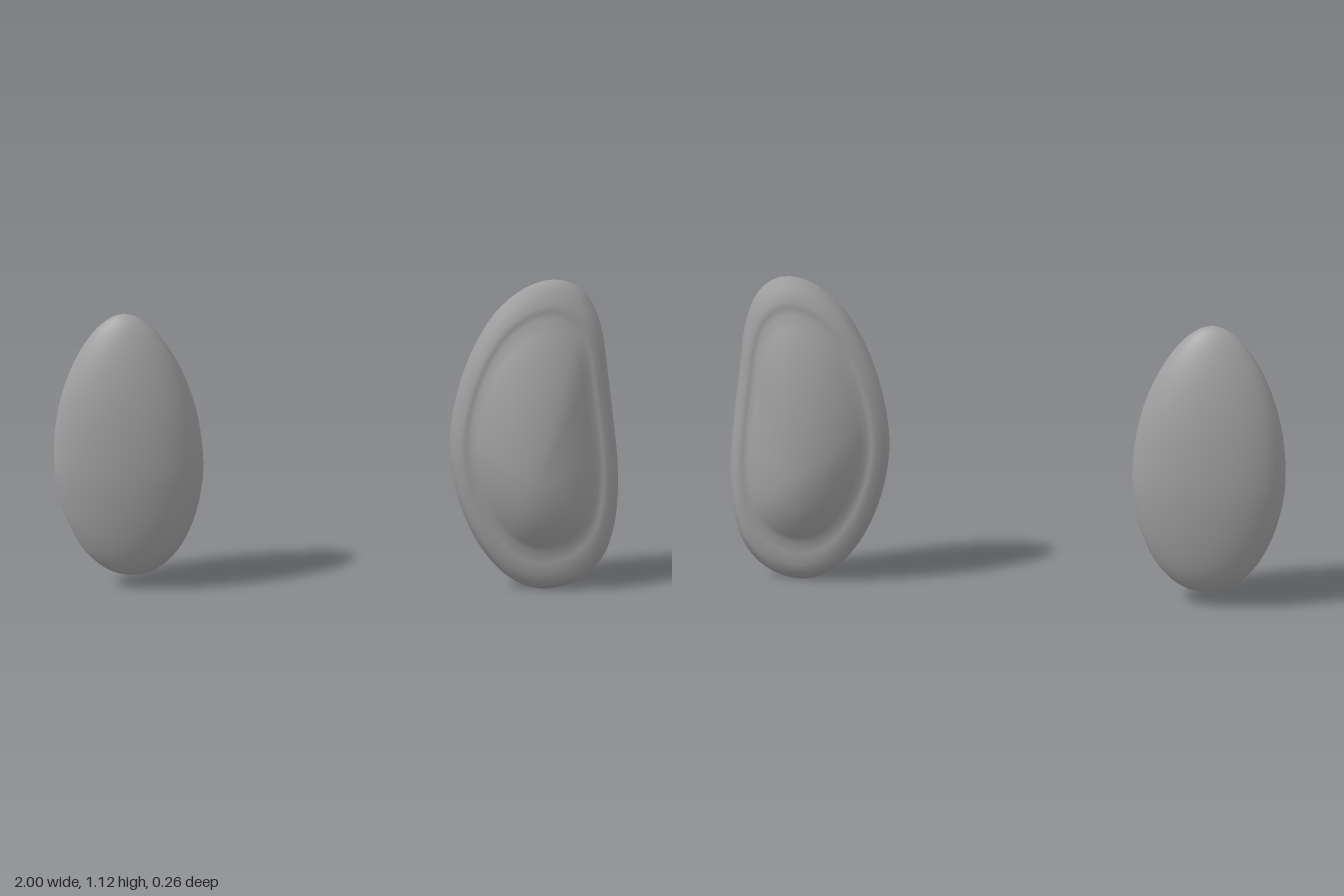
import * as THREE from 'three';
import { mergeVertices } from 'three/addons/utils/BufferGeometryUtils.js';

const v2 = ([x, y]) => new THREE.Vector2(x, y);

// Flattened egg: a turned profile squeezed front to back
function makeSeed(material) {
  const profile = [[0, 0.05], [0.06, 0.058], [0.12, 0.093], [0.18, 0.16], [0.228, 0.26], [0.256, 0.37],
    [0.265, 0.47], [0.254, 0.6], [0.226, 0.72], [0.175, 0.84], [0.11, 0.935], [0.05, 0.985], [0, 1]].map(v2);
  const points = new THREE.SplineCurve(profile).getPoints(48);
  points.forEach((p) => { p.x = Math.max(p.x, 0); });
  const seed = new THREE.Mesh(new THREE.LatheGeometry(points, 64), material);
  seed.name = 'seed';
  seed.scale.z = 0.49;
  seed.position.x = -0.735;
  return seed;
}

// Lopsided pod: scaled copies of one outline, stacked from back to front
function makePod(material) {
  const outline = [[0.75, 1.125], [0.82, 1.108], [0.88, 1.05], [0.92, 0.95], [0.946, 0.8], [0.972, 0.63],
    [0.99, 0.5], [0.998, 0.38], [0.987, 0.23], [0.95, 0.12], [0.87, 0.038], [0.74, 0.003], [0.63, 0.04],
    [0.53, 0.14], [0.45, 0.29], [0.407, 0.45], [0.4, 0.57], [0.43, 0.75], [0.485, 0.9], [0.56, 1.02], [0.66, 1.1]];
  const curve = new THREE.CatmullRomCurve3(outline.map(([x, y]) => new THREE.Vector3(x, y, 0)), true);
  const N = 80;
  const edge = curve.getSpacedPoints(N).slice(0, N);

  // scale, depth and centre height of each ring: rim edge, flat lip, then swelling
  const half = [[1, 0, 0.48], [0.935, 0.017, 0.48], [0.87, 0.033, 0.48], [0.81, 0.033, 0.495],
    [0.75, 0.033, 0.51], [0.68, 0.051, 0.5], [0.6, 0.07, 0.49], [0.45, 0.097, 0.47],
    [0.3, 0.115, 0.45], [0.15, 0.126, 0.44], [0, 0.13, 0.43]];
  const back = half.slice(1).reverse().map(([s, z, cy]) => [s, -z, cy]);
  const rings = [...back, ...half];

  const positions = [], indices = [];
  rings.forEach(([s, z, cy], i) => {
    edge.forEach((p, j) => {
      positions.push(0.7 + (p.x - 0.7) * s, cy + (p.y - 0.48) * s, z);
      if (i === rings.length - 1) return;
      const k = (j + 1) % N;
      const a = i * N + j, b = i * N + k, c = a + N, d = b + N;
      if (s > 0) indices.push(a, c, b);
      if (rings[i + 1][0] > 0) indices.push(b, c, d);
    });
  });
  let geometry = new THREE.BufferGeometry();
  geometry.setAttribute('position', new THREE.Float32BufferAttribute(positions, 3));
  geometry.setIndex(indices);
  geometry = mergeVertices(geometry, 1e-5);
  geometry.computeVertexNormals();
  const pod = new THREE.Mesh(geometry, material);
  pod.name = 'pod';
  return pod;
}

export function createModel() {
  const grey = new THREE.MeshStandardMaterial({ color: 0xa0a0a0 });
  grey.name = 'grey';
  const model = new THREE.Group();
  model.name = 'seedAndPod';
  model.add(makeSeed(grey), makePod(grey));
  return model;
}
